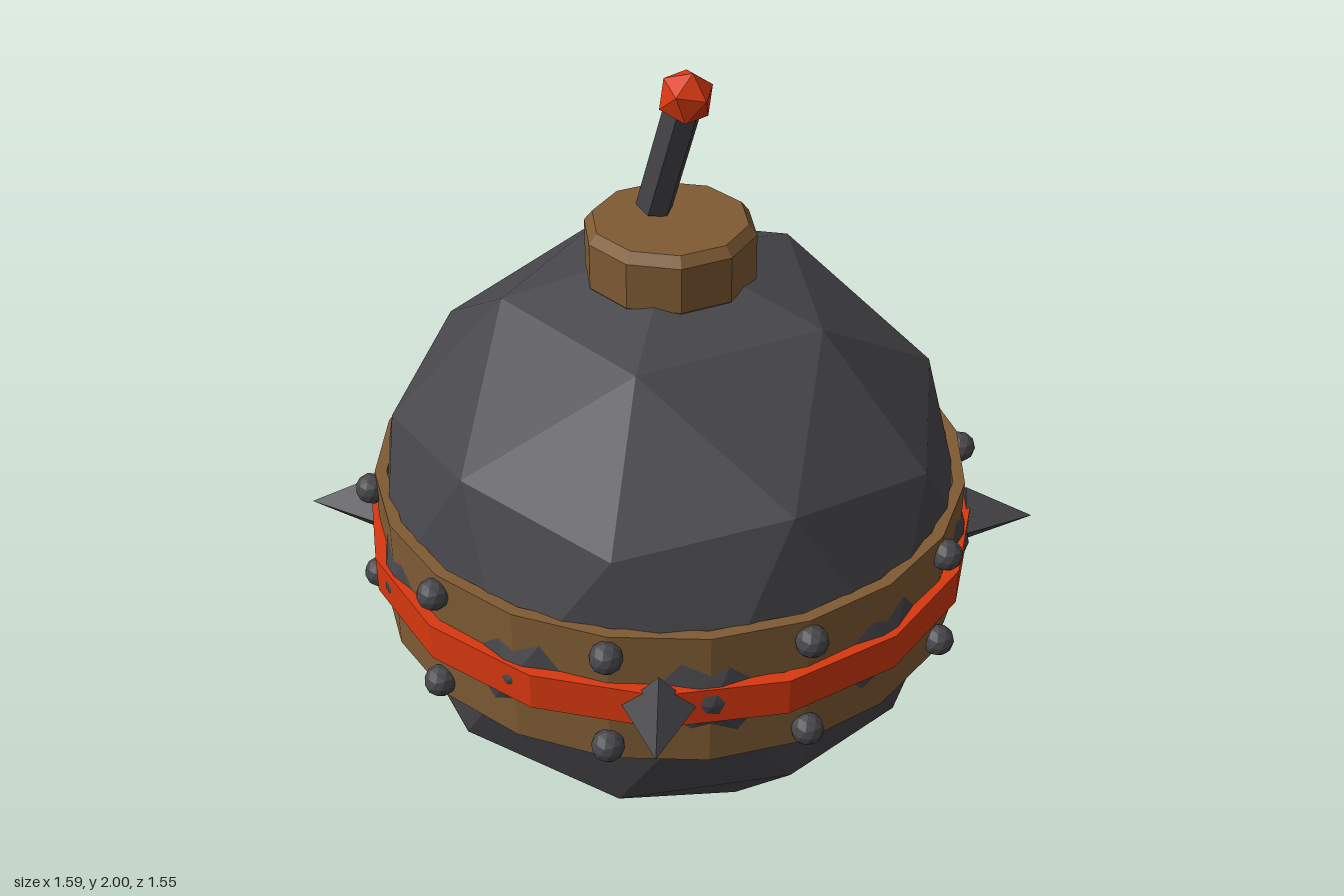
import * as THREE from 'three';

// Faceted copy of a geometry: every face gets its own normal
function flat(geometry) {
  const g = geometry.index ? geometry.toNonIndexed() : geometry;
  g.computeVertexNormals();
  return g;
}

// Icosphere standing on one of its vertices
function poleSphere(radius, detail) {
  const g = new THREE.IcosahedronGeometry(radius, detail);
  g.rotateZ(-Math.atan(2 / (1 + Math.sqrt(5))));
  return flat(g);
}

// Lathe from [radius, height] pairs
function turned(profile, sides) {
  return flat(new THREE.LatheGeometry(profile.map(([r, y]) => new THREE.Vector2(r, y)), sides));
}

// Hollow ring with a rectangular section
function ring(inner, outer, low, high, sides) {
  return turned([[inner, low], [outer, low], [outer, high], [inner, high], [inner, low]], sides);
}

export function createModel() {
  const iron = new THREE.MeshStandardMaterial({ color: 0x47474b });
  iron.name = 'darkIron';
  const brass = new THREE.MeshStandardMaterial({ color: 0x7f5b34 });
  brass.name = 'brownMetal';
  const red = new THREE.MeshStandardMaterial({ color: 0xd8380f });
  red.name = 'red';

  const model = new THREE.Group();
  model.name = 'bomb';
  const add = (name, geometry, material, parent = model) => {
    const mesh = new THREE.Mesh(geometry, material);
    mesh.name = name;
    parent.add(mesh);
    return mesh;
  };

  // Round body
  const midY = 0.77;
  add('body', poleSphere(0.77, 1), iron).position.y = midY;

  // Belt, with the body's corners poking through, and the red hoop around it
  add('belt', ring(0.715, 0.745, 0.585, 0.95, 20), brass);
  add('hoop', ring(0.742, 0.775, 0.718, 0.815, 16), red);

  // Two rows of rivets
  const rivets = new THREE.Group();
  rivets.name = 'rivets';
  model.add(rivets);
  const rivetShape = poleSphere(0.04, 1);
  for (const y of [0.635, 0.9]) {
    for (let i = 0; i < 10; i++) {
      const a = (i / 10) * Math.PI * 2;
      add('rivet', rivetShape, iron, rivets).position.set(Math.cos(a) * 0.757, y, Math.sin(a) * 0.757);
    }
  }

  // Four spikes on the diagonals
  const spikes = new THREE.Group();
  spikes.name = 'spikes';
  model.add(spikes);
  const spikeShape = flat(new THREE.ConeGeometry(0.085, 0.175, 4).rotateZ(-Math.PI / 2).translate(0.845, 0, 0));
  for (let i = 0; i < 4; i++) {
    const spike = add('spike', spikeShape, iron, spikes);
    spike.position.y = midY;
    spike.rotation.y = Math.PI / 4 + (i * Math.PI) / 2;
  }

  // Bevelled cap on top
  add('cap', turned([
    [0, 1.465], [0.2, 1.465], [0.208, 1.475], [0.208, 1.59], [0.188, 1.615], [0, 1.615],
  ], 10), brass);

  // Fuse leaning forward, with a glowing tip
  const fuse = new THREE.Group();
  fuse.name = 'fuse';
  fuse.position.set(0, 1.628, -0.055);
  fuse.rotation.x = Math.atan2(0.107, 0.309);
  model.add(fuse);
  add('fuseCord', flat(new THREE.CylinderGeometry(0.046, 0.046, 0.31, 6)), iron, fuse).position.y = 0.155;
  const tip = add('fuseTip', poleSphere(0.067, 0), red, fuse);
  tip.position.y = 0.327;
  tip.rotation.y = -Math.PI / 2;

  return model;
}
